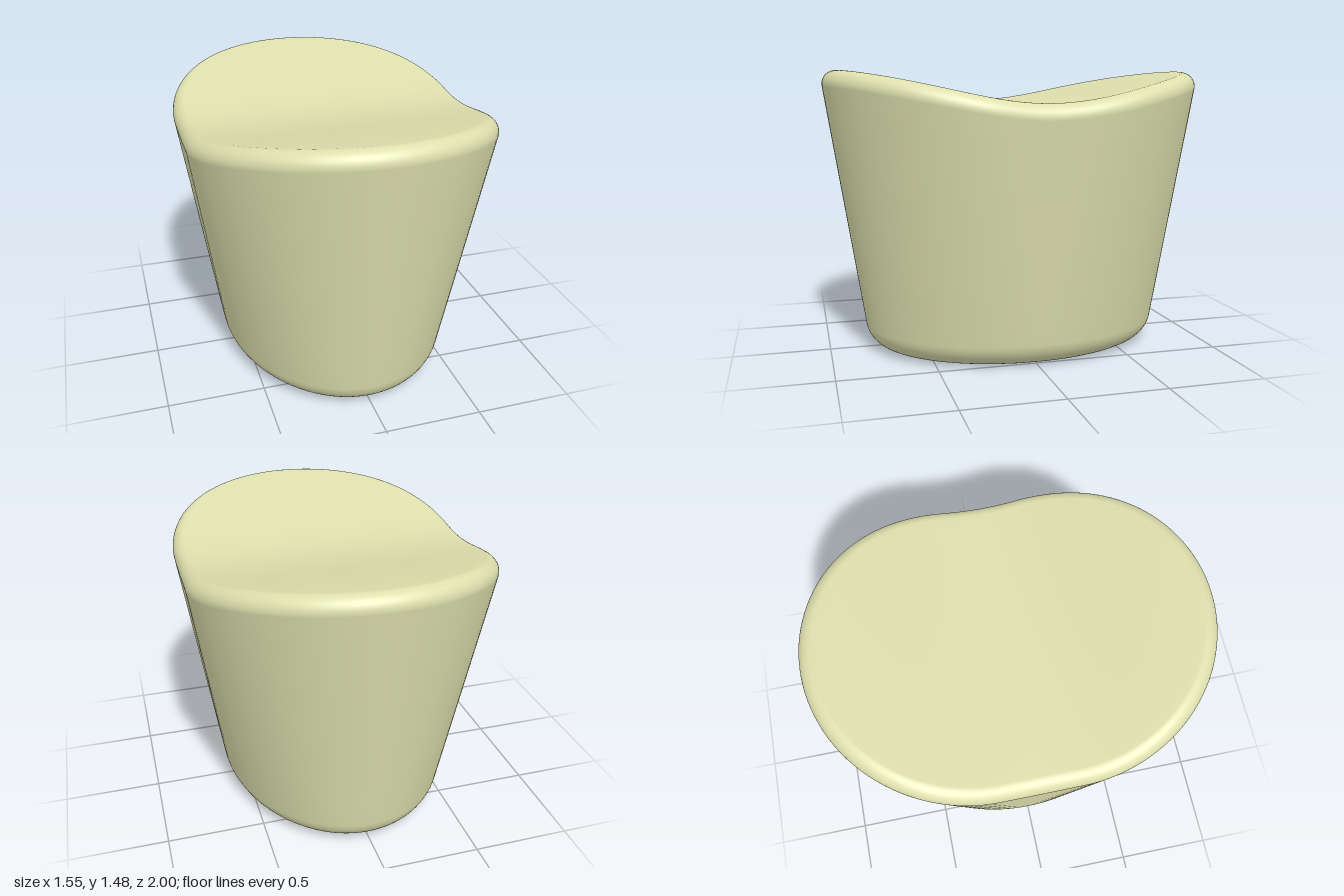
import * as THREE from 'three';
import { mergeVertices } from 'three/addons/utils/BufferGeometryUtils.js';

const HALF_STRAIGHT = 0.205;        // half length of the straight flanks at the rim
const FOOT_X = 0.605, FOOT_Z = 0.805; // half axes of the oval foot
const FOOT_R = 0.15, RIM_R = 0.07;  // edge roundings
const STEPS = 12;

// Saddle height of the seat along z
const seatHeight = (z) => 1.318 + (0.4035 * z * z) / (1 + 1.367 * z * z);

// Radius of the rim outline at height y
const rimRadius = (y) => 0.609 + 0.15 * (y - FOOT_R);

// Directions round the plan: spine point z plus outward normal (nx, nz)
function outline() {
  const dirs = [], arc = 60, flank = 10;
  for (const s of [1, -1]) {
    for (let i = 0; i < arc; i++) {
      const a = (Math.PI * i) / arc;
      dirs.push({ z: s * HALF_STRAIGHT, nx: s * Math.cos(a), nz: s * Math.sin(a) });
    }
    for (let i = 0; i < flank; i++) {
      dirs.push({ z: s * HALF_STRAIGHT * (1 - (2 * i) / flank), nx: -s, nz: 0 });
    }
  }
  return dirs;
}

// Vertical section for one direction, from underside centre to seat centre
function section({ z, nx, nz }) {
  const pts = [];

  // Oval foot point with the same outward normal
  const support = Math.hypot(FOOT_X * nx, FOOT_Z * nz);
  const footX = (FOOT_X * FOOT_X * nx) / support;
  const footZ = (FOOT_Z * FOOT_Z * nz) / support;

  // Rim centre, settled on the saddle height
  let rimC = 0.7, rimY = 1.3;
  for (let i = 0; i < 8; i++) {
    rimY = seatHeight(z + nz * rimC) - RIM_R;
    rimC = rimRadius(rimY) - RIM_R * 1.011;
  }
  const tilt = Math.atan((z * nz + rimC + RIM_R - support) / (rimY - FOOT_R));

  // Underside and rounded foot edge
  const inset = FOOT_R * Math.cos(tilt);
  const coreX = footX - nx * inset, coreZ = footZ - nz * inset;
  for (let i = 0; i < 4; i++) pts.push([(coreX * i) / 4, 0, (coreZ * i) / 4]);
  for (let i = 0; i <= STEPS; i++) {
    const a = -Math.PI / 2 + (Math.PI / 2 - tilt) * (i / STEPS);
    const r = FOOT_R * Math.cos(a);
    pts.push([coreX + nx * r, FOOT_R + FOOT_R * Math.sin(a), coreZ + nz * r]);
  }

  // Rounded rim
  const rim = [];
  for (let i = 0; i <= STEPS; i++) {
    const a = -tilt + (Math.PI / 2 + tilt) * (i / STEPS);
    const r = rimC + RIM_R * Math.cos(a);
    rim.push([nx * r, rimY + RIM_R * Math.sin(a), z + nz * r]);
  }

  // Flared wall between oval foot and straight-sided rim
  const low = pts[pts.length - 1], high = rim[0];
  for (let i = 1; i < 12; i++) {
    pts.push(low.map((v, k) => v + ((high[k] - v) * i) / 12));
  }
  pts.push(...rim);

  // Saddle seat
  for (let i = 15; i >= 0; i--) {
    const r = (rimC * i) / 16;
    pts.push([nx * r, seatHeight(z + nz * r), z + nz * r]);
  }
  return pts;
}

// Skin the sections into one smooth closed surface
function stoolGeometry() {
  const sections = outline().map(section);
  const n = sections.length, rows = sections[0].length;
  const indices = [];
  for (let i = 0; i < n; i++) {
    for (let j = 0; j < rows - 1; j++) {
      const a = i * rows + j, b = ((i + 1) % n) * rows + j;
      indices.push(a, a + 1, b, b, a + 1, b + 1);
    }
  }
  const g = new THREE.BufferGeometry();
  g.setAttribute('position', new THREE.Float32BufferAttribute(sections.flat(2), 3));
  g.setIndex(indices);
  const welded = mergeVertices(g, 1e-5);
  welded.computeVertexNormals();
  return welded;
}

export function createModel() {
  const group = new THREE.Group();
  group.name = 'stool';
  const paleOlive = new THREE.MeshStandardMaterial({ color: 0xdddfad });
  paleOlive.name = 'paleOlive';
  const body = new THREE.Mesh(stoolGeometry(), paleOlive);
  body.name = 'stoolBody';
  group.add(body);
  return group;
}
